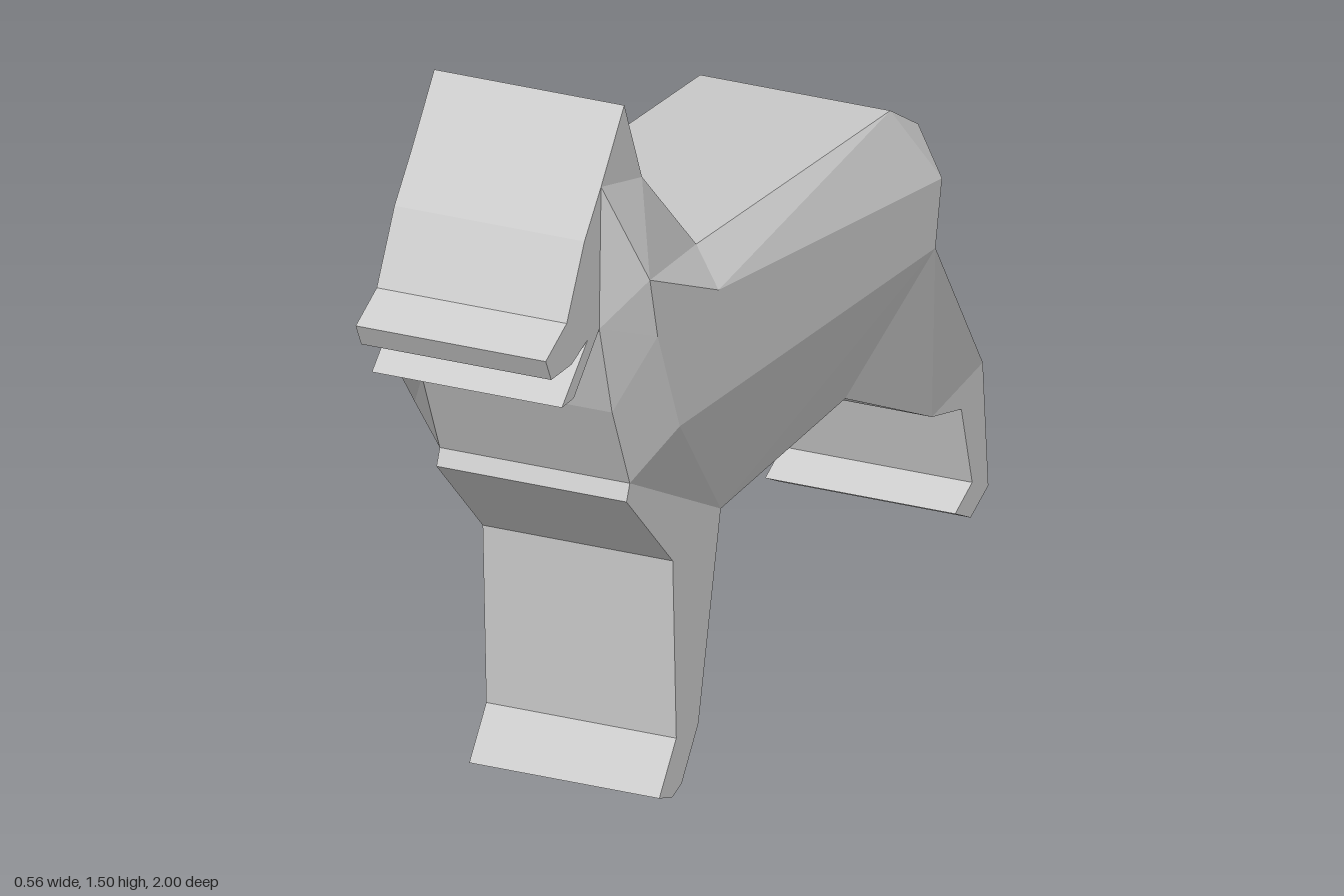
import * as THREE from 'three';

const RIGHT = -0.175, LEFT = 0.212, BULGE = 0.28;

// Side outline as [z, y], clockwise from the ear tip
const outline = [
  [0.645, 1.51], [0.565, 1.33], [0.32, 1.09], [-0.557, 0.995], [-0.683, 0.915], // ear, neck, back
  [-0.75, 0.62], [-0.975, 0.305], [-1, 0.043], [-0.92, 0.011], [-0.85, 0.048],  // hind leg and paw
  [-0.927, 0.08], [-0.878, 0.25], [-0.745, 0.29], [-0.353, 0.492], [0.209, 0.503], // thigh, belly
  [0.31, 0.107], [0.385, 0.016], [0.428, 0.005], [0.487, 0.027], [0.41, 0.118], // front leg and paw
  [0.426, 0.487], [0.635, 0.695], [0.62, 0.727], [0.7, 0.905], [0.758, 1.1],    // chest, throat
  [0.873, 1.007], [0.927, 1.01], [0.81, 1.1], [0.884, 1.08], [0.975, 1.087],    // jaw, mouth
  [1, 1.135], [0.905, 1.173], [0.825, 1.307], [0.75, 1.387],                    // muzzle, forehead
];

// Flank bulges: base ring [z, y, index of the crest point it joins], crest ring [z, y]
const leftBase = [
  [0.75, 1.387, 0], [0.565, 1.33, 0], [0.32, 1.09, 1], [-0.557, 0.995, 2], [-0.683, 0.915, 2],
  [-0.75, 0.62, 3], [-0.975, 0.305, 3], [-0.745, 0.29, 3], [-0.353, 0.492, 3], [0.209, 0.503, 4],
  [0.62, 0.727, 4], [0.7, 0.905, 5], [0.758, 1.1, 6],
];
const leftCrest = [
  [0.68, 1.18], [0.37, 1.03], [-0.64, 0.835], [-0.61, 0.705], [0.545, 0.825], [0.645, 1.05],
];
const rightBase = [
  [0.585, 1.236, 0], [0.32, 1.09, 0], [-0.557, 0.995, 1], [-0.683, 0.915, 2], [-0.75, 0.62, 2],
  [-0.745, 0.32, 2], [-0.353, 0.492, 2], [0.209, 0.503, 3], [0.62, 0.727, 4], [0.7, 0.905, 5],
  [0.68, 1.25, 5],
];
const rightCrest = [
  [0.28, 0.95], [-0.48, 0.79], [-0.71, 0.42], [0.3, 0.63], [0.5, 0.75], [0.57, 0.84],
];

// Stitches the base ring to the crest ring and closes the crest with a flat face
function flankGeometry(base, crest, baseX, crestX) {
  const n = base.length, m = crest.length;
  const pos = [];
  const b = i => [baseX, base[i % n][1], base[i % n][0]];
  const c = k => [crestX, crest[k % m][1], crest[k % m][0]];
  const tri = (p, q, r) => (crestX > 0 ? pos.push(...p, ...q, ...r) : pos.push(...p, ...r, ...q));
  for (let i = 0; i < n; i++) {
    const k = base[i][2];
    const next = i + 1 < n ? base[i + 1][2] : m;
    tri(b(i + 1), b(i), c(k));
    for (let j = k; j < next; j++) tri(b(i + 1), c(j), c(j + 1));
  }
  const ring = crest.map(([z, y]) => new THREE.Vector2(-z, y)).reverse();
  for (const f of THREE.ShapeUtils.triangulateShape(ring, [])) {
    tri(...f.map(i => [crestX, ring[i].y, -ring[i].x]));
  }
  const g = new THREE.BufferGeometry();
  g.setAttribute('position', new THREE.Float32BufferAttribute(pos, 3));
  g.computeVertexNormals();
  return g;
}

export function createModel() {
  const group = new THREE.Group();
  group.name = 'dog';
  const material = new THREE.MeshStandardMaterial({
    color: 0xcccccc, flatShading: true, side: THREE.DoubleSide,
  });
  const add = (name, geometry) => {
    const mesh = new THREE.Mesh(geometry, material);
    mesh.name = name;
    group.add(mesh);
  };

  // Slab cut to the dog's outline
  const shape = new THREE.Shape(outline.map(([z, y]) => new THREE.Vector2(-z, y)));
  const slab = new THREE.ExtrudeGeometry(shape, { depth: LEFT - RIGHT, bevelEnabled: false });
  slab.rotateY(Math.PI / 2).translate(RIGHT, 0, 0);
  add('body', slab);

  // Faceted bulges on the two flanks
  add('leftFlank', flankGeometry(leftBase, leftCrest, LEFT, BULGE));
  add('rightFlank', flankGeometry(rightBase, rightCrest, RIGHT, -BULGE));
  return group;
}
